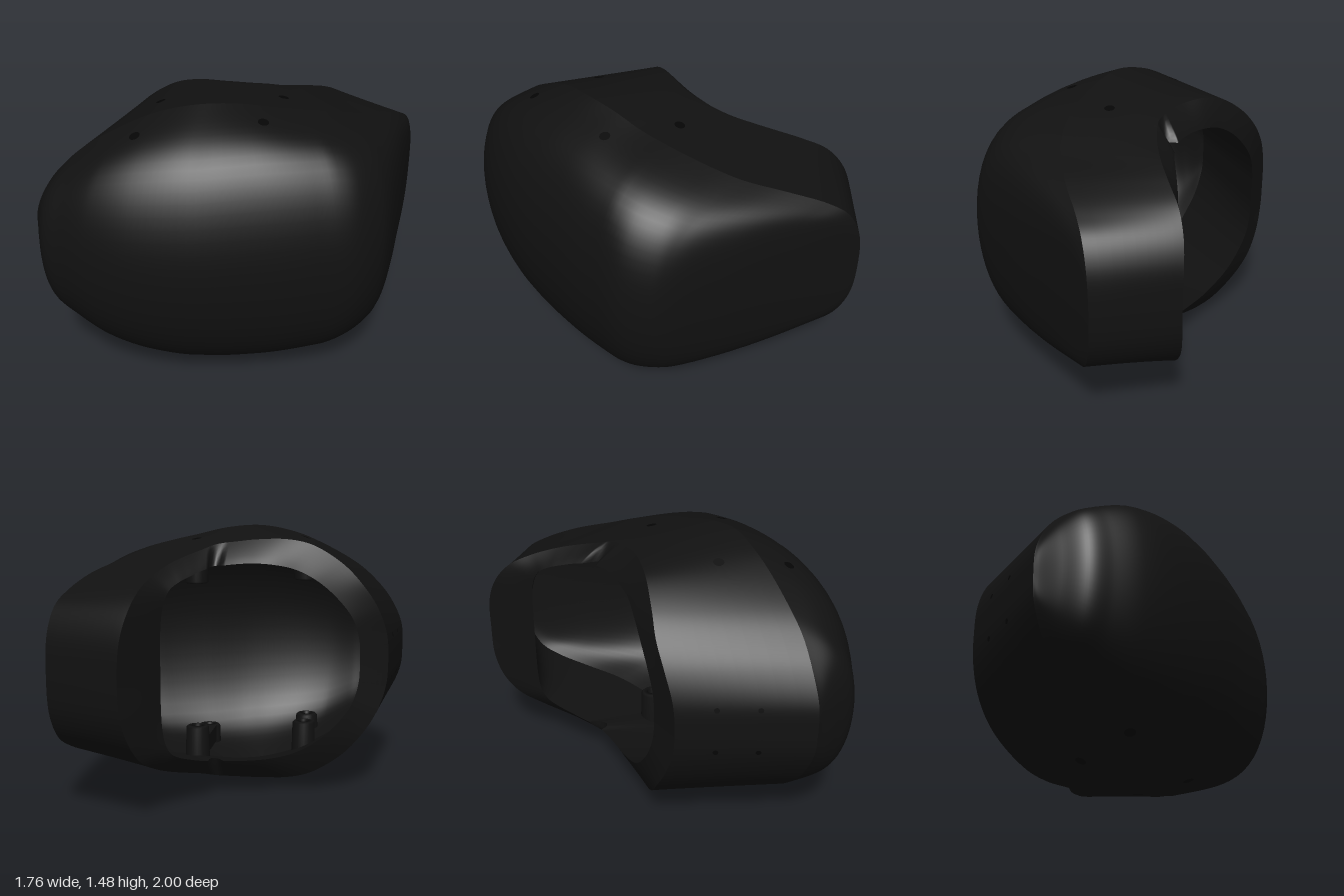
import * as THREE from 'three';
import { mergeVertices } from 'three/addons/utils/BufferGeometryUtils.js';

const MID = 0.74;        // height of the mirror plane
const HALF = 17;         // control steps from one end of the shell to the other
const N = HALF * 2 * 8;  // samples round each loop

// Upper halves of the loops as [x, height above mid plane, z]
const CREASE = [
  [-0.88, 0, 0.77], [-0.87, 0.14, 0.765], [-0.8, 0.3, 0.73], [-0.7, 0.425, 0.69], [-0.6, 0.515, 0.64],
  [-0.4, 0.635, 0.55], [-0.25, 0.7, 0.48], [-0.07, 0.737, 0.4], [0.1, 0.725, 0.28], [0.25, 0.685, 0.16],
  [0.4, 0.64, 0], [0.5, 0.59, -0.15], [0.56, 0.545, -0.28], [0.62, 0.485, -0.5], [0.65, 0.41, -0.7],
  [0.668, 0.34, -0.81], [0.678, 0.21, -0.88], [0.68, 0, -0.9]];
const RIDGE = [
  [-0.88, 0, 0.08], [-0.87, 0.15, 0.07], [-0.82, 0.3, 0.03], [-0.74, 0.425, -0.01], [-0.64, 0.53, -0.03],
  [-0.48, 0.63, -0.06], [-0.35, 0.66, -0.09], [-0.2, 0.66, -0.13], [-0.1, 0.65, -0.18], [0, 0.635, -0.25],
  [0.06, 0.605, -0.34], [0.11, 0.575, -0.45], [0.15, 0.54, -0.57], [0.18, 0.49, -0.71], [0.2, 0.42, -0.85],
  [0.22, 0.32, -0.94], [0.24, 0.19, -0.99], [0.25, 0, -1]];
const OPENING = [
  [-0.74, 0, -0.02], [-0.735, 0.12, -0.025], [-0.7, 0.24, -0.05], [-0.62, 0.35, -0.085], [-0.52, 0.44, -0.12],
  [-0.41, 0.5, -0.155], [-0.31, 0.525, -0.2], [-0.2, 0.535, -0.25], [-0.1, 0.53, -0.31], [-0.03, 0.52, -0.37],
  [0.02, 0.5, -0.46], [0.055, 0.475, -0.54], [0.085, 0.45, -0.61], [0.11, 0.415, -0.67], [0.125, 0.36, -0.705],
  [0.135, 0.28, -0.72], [0.14, 0.15, -0.725], [0.14, 0, -0.725]];
// Outermost line of the bulging front, on the mid plane
const FRONT = [
  [-0.88, 0.77], [-0.86, 0.793], [-0.79, 0.88], [-0.7, 0.97], [-0.58, 0.99], [-0.42, 1], [-0.2, 0.97],
  [0.08, 0.87], [0.4, 0.69], [0.64, 0.53], [0.8, 0.4], [0.87, 0.26], [0.88, 0.17], [0.84, -0.1],
  [0.77, -0.45], [0.72, -0.7], [0.69, -0.85], [0.68, -0.9]].map(([x, z]) => [x, 0, z]);

// Mirror a half loop about the mid plane and sample it smoothly
function loop(half) {
  const lower = half.slice(1, -1).reverse().map(([x, h, z]) => [x, -h, z]);
  const pts = [...half, ...lower].map(([x, h, z]) => new THREE.Vector3(x, MID + h, z));
  const curve = new THREE.CatmullRomCurve3(pts, true);
  return Array.from({ length: N }, (_, i) => curve.getPoint(i / N));
}

// Press a small rounded notch into the loop, above and below
function notch(ring, dx, dz) {
  return ring.map((p, i) => {
    const t = (i / N) * HALF * 2;
    const d = Math.abs(Math.min(t, HALF * 2 - t) - 9) / 0.45;
    const k = d < 1 ? Math.sqrt(1 - d * d) : 0;
    return p.clone().add(new THREE.Vector3(dx * k, 0, dz * k));
  });
}

const shrink = ring => ring.map(p =>
  new THREE.Vector3(0.05 + (p.x - 0.05) * 0.94, MID + (p.y - MID) * 0.93, p.z * 0.94));

// Skin a series of closed rings
function skin(rings, inward = false) {
  const pos = rings.flatMap(r => r.flatMap(p => [p.x, p.y, p.z]));
  const idx = [];
  for (let k = 0; k < rings.length - 1; k++) {
    for (let i = 0; i < N; i++) {
      const j = (i + 1) % N;
      const a = k * N + i, b = k * N + j, c = a + N, d = b + N;
      idx.push(...(inward ? [a, b, c, b, d, c] : [a, c, b, b, c, d]));
    }
  }
  let g = new THREE.BufferGeometry();
  g.setAttribute('position', new THREE.Float32BufferAttribute(pos, 3));
  g.setIndex(idx);
  g = mergeVertices(g, 1e-4);
  g.computeVertexNormals();
  return g;
}

// Full bulge from the crease out to the front line, sloping more at the left end of the loop
function dome(crease, front, steps = 18) {
  return Array.from({ length: steps + 1 }, (_, k) => {
    const s = k === steps ? 1 : Math.sin((k / steps) * Math.PI / 2);
    return crease.map((p, i) => {
      const slope = THREE.MathUtils.clamp(0.23 - 0.4 * p.x, 0.1, 0.25);
      const c = (1 - slope * s) * Math.sqrt(1 - s ** 4.5);
      return new THREE.Vector3(
        p.x + (front[i].x - p.x) * s, MID + (p.y - MID) * c, p.z + (front[i].z - p.z) * s);
    });
  });
}

// Rings between two loops; ease below 1 rounds the height off towards the first loop
const between = (a, b, steps, ease = 1) => Array.from({ length: steps + 1 }, (_, k) => {
  const t = (k / steps) ** (1 / ease);
  return a.map((p, i) => {
    const q = p.clone().lerp(b[i], t);
    q.y = p.y + (b[i].y - p.y) * t ** ease;
    return q;
  });
});

export function createModel() {
  const model = new THREE.Group();
  model.name = 'curvedShell';
  const dark = new THREE.MeshStandardMaterial({ color: 0x111111, side: THREE.DoubleSide });
  const black = new THREE.MeshStandardMaterial({ color: 0x050505, side: THREE.DoubleSide });
  const add = (name, geometry, material = dark) => {
    const mesh = new THREE.Mesh(geometry, material);
    mesh.name = name;
    model.add(mesh);
    return mesh;
  };

  // Outer and inner skins
  const crease = loop(CREASE), front = loop(FRONT), ridge = loop(RIDGE);
  const opening = notch(loop(OPENING), 0.03, 0.055);
  const inCrease = shrink(crease), inFront = shrink(front);
  const outer = [
    add('frontDome', skin(dome(crease, front))),
    add('sideBand', skin(between(ridge, crease, 10, 0.7))),
  ];
  add('openingLip', skin(between(opening, ridge, 6, 0.85)));
  add('innerBand', skin(between(opening, inCrease, 4), true));
  add('innerDome', skin(dome(inCrease, inFront, 14), true));

  // Screw bosses in linked pairs: x, z, height of the root and of the tip from the mid plane
  const pairs = [
    [[0.19, -0.04, 0.61, 0.41], [0.25, 0.35, 0.6, 0.49]],
    [[-0.36, 0.3, 0.61, 0.42], [-0.3, 0.66, 0.54, 0.45]]];
  for (const side of [1, -1]) {
    for (const pair of pairs) {
      for (const [x, z, root, tip] of pair) {
        const profile = [[0.028, root], [0.028, tip], [0.055, tip], [0.066, tip + 0.01], [0.07, root]]
          .map(([r, y]) => new THREE.Vector2(r, y * side));
        add('screwBoss', new THREE.LatheGeometry(profile, 24)).position.set(x, MID, z);
      }
      const [[x0, z0], [x1, z1]] = pair;
      const web = add('bossWeb', new THREE.BoxGeometry(0.1, 0.1, Math.hypot(x1 - x0, z1 - z0) - 0.1));
      web.position.set((x0 + x1) / 2, MID + side * 0.54, (z0 + z1) / 2);
      web.rotation.y = Math.atan2(x1 - x0, z1 - z0);
    }
  }

  // Holes set flush on the outer skin
  const ray = new THREE.Raycaster();
  model.updateMatrixWorld(true);
  const hole = (name, from, dir, radius) => {
    ray.set(from, dir);
    const hit = ray.intersectObjects(outer)[0];
    if (!hit) return;
    const n = hit.face.normal.clone();
    if (n.dot(dir) > 0) n.negate();
    const mesh = add(name, new THREE.CircleGeometry(radius, 20), black);
    mesh.position.copy(hit.point).addScaledVector(n, 0.003);
    mesh.quaternion.setFromUnitVectors(new THREE.Vector3(0, 0, 1), n);
  };
  for (const side of [1, -1]) {
    for (const [x, z] of pairs.flat()) {
      hole('screwHole', new THREE.Vector3(x, MID + side * 2, z), new THREE.Vector3(0, -side, 0), 0.028);
    }
    for (const z of [0.28, 0.49]) {
      hole('endHole', new THREE.Vector3(-2, MID + side * 0.12, z), new THREE.Vector3(1, 0, 0), 0.014);
    }
  }
  return model;
}
